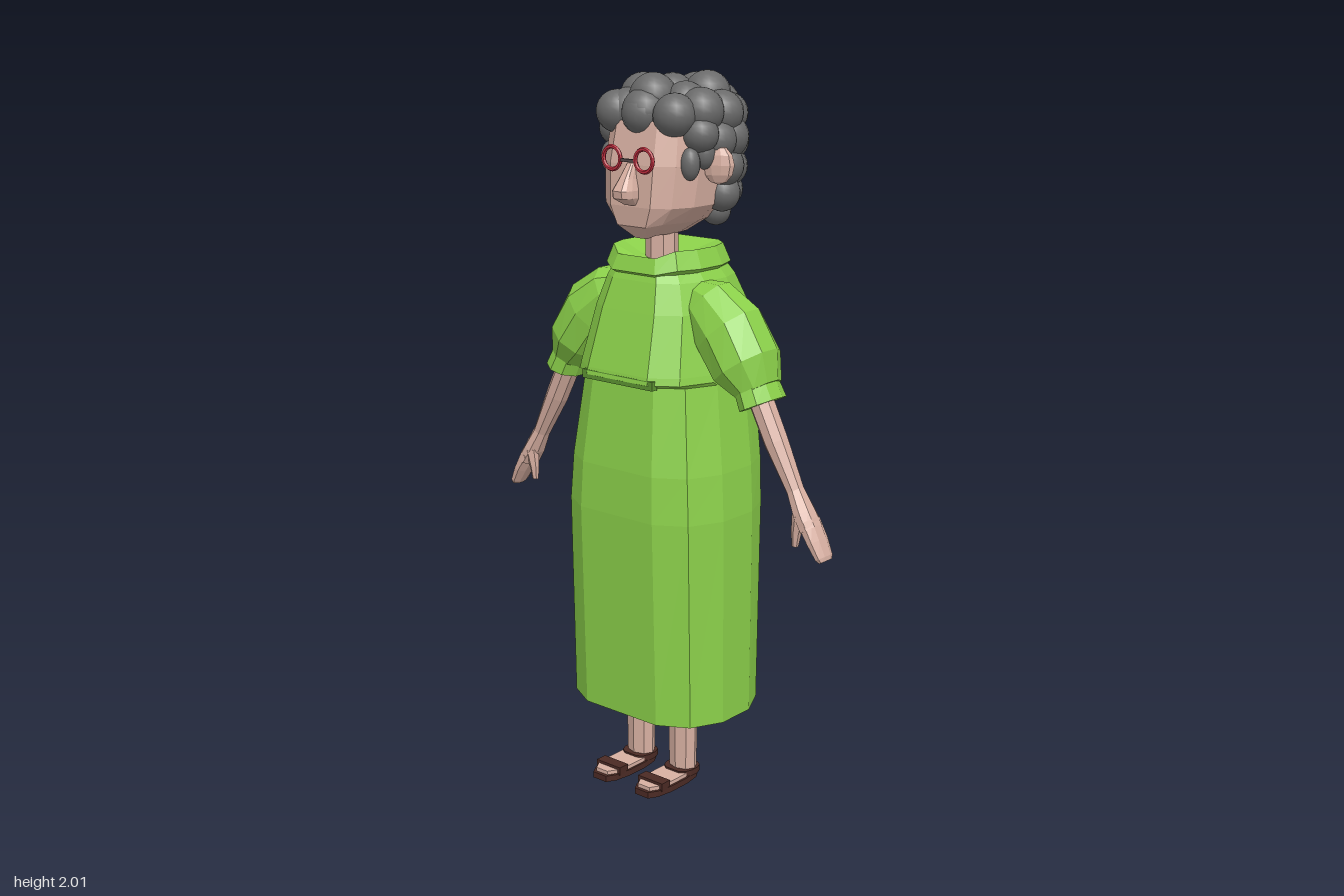
import * as THREE from 'three';

const flat = (color) => new THREE.MeshStandardMaterial({ color, flatShading: true });
const GREEN = flat(0x8bd04a), SKIN = flat(0xd8b0a2), RED = flat(0xc22f40), BROWN = flat(0x4b2a24), DARK = flat(0x55494a);
const HAIR = new THREE.MeshStandardMaterial({ color: 0x6a6a6a });
const V = (x, y, z) => new THREE.Vector3(x, y, z);

function add(parent, name, geometry, material) {
  const mesh = new THREE.Mesh(geometry, material);
  mesh.name = name;
  parent.add(mesh);
  return mesh;
}

// Skin a closed solid over a list of rings; winding is set from the signed volume.
function loft(rings) {
  const n = rings[0].length, pts = rings.flat(), tris = [];
  for (let i = 0; i < rings.length - 1; i++) {
    for (let j = 0; j < n; j++) {
      const a = i * n + j, b = i * n + (j + 1) % n;
      tris.push([a, b, b + n], [a, b + n, a + n]);
    }
  }
  for (const start of [0, (rings.length - 1) * n]) {
    const mid = V(0, 0, 0);
    for (let j = 0; j < n; j++) mid.addScaledVector(pts[start + j], 1 / n);
    const c = pts.push(mid) - 1;
    for (let j = 0; j < n; j++) {
      const a = start + j, b = start + (j + 1) % n;
      tris.push(start ? [c, a, b] : [c, b, a]);
    }
  }
  const volume = tris.reduce((s, [a, b, c]) => s + pts[a].dot(V(0, 0, 0).crossVectors(pts[b], pts[c])), 0);
  const g = new THREE.BufferGeometry().setFromPoints(pts);
  g.setIndex(tris.flatMap(([a, b, c]) => (volume < 0 ? [a, c, b] : [a, b, c])));
  g.computeVertexNormals();
  return g;
}

// Twelve-sided body outline: flat front and back, chamfered sides.
const quarter = [[0.5, 1], [0.83, 0.76], [1, 0.3]];
const outline = [
  ...quarter,
  ...quarter.map(([x, z]) => [x, -z]).reverse(),
  ...quarter.map(([x, z]) => [-x, -z]),
  ...quarter.map(([x, z]) => [-x, z]).reverse(),
];
// Horizontal section: height, half width, front z, back z, optional drop at the front.
const section = ([y, w, front, back, drop = 0]) => outline.map(([x, z]) =>
  V(x * w, y - (z > 0.9 ? drop : 0), (front + back) / 2 + z * (front - back) / 2));

// Limb along points [x, y, radius in plane, radius in z], mirrored by side.
function limb(points, side, z, sides = 8) {
  return loft(points.map(([x, y, r, rz = r], i) => {
    const p = points[Math.max(0, i - 1)], q = points[Math.min(points.length - 1, i + 1)];
    const len = Math.hypot(q[0] - p[0], q[1] - p[1]);
    const nx = -(q[1] - p[1]) / len, ny = (q[0] - p[0]) / len;
    return Array.from({ length: sides }, (_, k) => {
      const t = (k + 0.5) / sides * Math.PI * 2, c = Math.cos(t) * r;
      return V(side * (x + nx * c), y + ny * c, z + Math.sin(t) * rz);
    });
  }));
}

function buildDress(root) {
  add(root, 'dress', loft([
    [0.23, 0.26, 0.205, -0.185], [0.82, 0.26, 0.22, -0.2], [0.95, 0.25, 0.215, -0.205],
    [1.19, 0.217, 0.188, -0.205], [1.2, 0.217, 0.214, -0.205], [1.22, 0.214, 0.21, -0.205],
    [1.38, 0.185, 0.165, -0.205], [1.46, 0.155, 0.14, -0.17], [1.51, 0.12, 0.12, -0.14],
  ].map(section)), GREEN);
  // Shadowed fold under the bodice
  const fold = add(root, 'bodiceFold', new THREE.BoxGeometry(0.25, 0.025, 0.02), flat(0x5d9433));
  fold.position.set(0, 1.2, 0.202);
  add(root, 'collar', loft([
    [1.47, 0.12, 0.125, -0.14], [1.495, 0.152, 0.145, -0.152, 0.012], [1.545, 0.132, 0.13, -0.135, 0.02],
    [1.515, 0.06, 0.08, -0.04, 0.005],
  ].map(section)), GREEN);
}

function buildHead(root) {
  const head = new THREE.Group();
  head.name = 'head';
  root.add(head);
  add(head, 'neck', new THREE.CylinderGeometry(0.045, 0.045, 0.14, 8), SKIN).position.set(0, 1.55, 0.025);
  add(head, 'face', loft([
    [1.578, 0.04, 0.11, -0.06], [1.615, 0.1, 0.15, -0.1], [1.66, 0.14, 0.155, -0.12],
    [1.77, 0.15, 0.148, -0.14], [1.88, 0.14, 0.125, -0.13], [1.94, 0.08, 0.07, -0.1],
  ].map((s, i) => section([...s, i < 2 ? 0.008 : 0]))), SKIN);
  add(head, 'nose', loft([
    [1.775, 0.012, 0.155, 0.13], [1.735, 0.02, 0.185, 0.13], [1.705, 0.03, 0.206, 0.13],
    [1.685, 0.03, 0.203, 0.13], [1.665, 0.02, 0.165, 0.13],
  ].map(section)), SKIN);

  // Spectacles
  for (const s of [-1, 1]) {
    add(head, 'spectacleRim', new THREE.TorusGeometry(0.03, 0.006, 6, 20), RED).position.set(s * 0.056, 1.785, 0.162);
    const ear = add(head, 'ear', new THREE.SphereGeometry(1, 10, 6), SKIN);
    ear.scale.set(0.045, 0.052, 0.02);
    ear.position.set(s * 0.178, 1.77, 0.005);
    ear.rotation.y = s * 0.35;
  }
  add(head, 'spectacleBridge', new THREE.BoxGeometry(0.054, 0.008, 0.008), DARK).position.set(0, 1.782, 0.162);
}

function buildHair(root) {
  const hair = new THREE.Group();
  hair.name = 'hair';
  root.add(hair);
  const ball = new THREE.SphereGeometry(1, 16, 12);
  const curl = (x, y, z, r, tall = 1) => {
    const m = add(hair, 'curl', ball, HAIR);
    m.position.set(x, y, z);
    m.scale.set(r, r * tall, r);
  };
  // Rows of curls: height, x radius, z radius, centre z, count, arc half-angle from the back, curl radius
  const rows = [
    [1.935, 0.085, 0.09, -0.03, 6, 1, 0.062],
    [1.9, 0.142, 0.128, -0.035, 11, 1, 0.06],
    [1.83, 0.148, 0.12, -0.045, 9, 0.56, 0.057],
    [1.76, 0.142, 0.12, -0.045, 7, 0.45, 0.056],
    [1.69, 0.132, 0.115, -0.045, 6, 0.42, 0.052],
    [1.64, 0.1, 0.105, -0.045, 5, 0.3, 0.044],
  ];
  rows.forEach(([y, rx, rz, cz, n, arc, r], row) => {
    for (let i = 0; i < n; i++) {
      const t = arc === 1 ? (i + 0.5 * (n % 2)) / n * 2 * Math.PI : (i / (n - 1) * 2 - 1) * arc * Math.PI;
      const wobble = Math.sin(i * 2.3 + row * 1.7);
      curl(Math.sin(t) * rx, y + wobble * 0.01, cz - Math.cos(t) * rz, r * (1 + wobble * 0.06));
    }
  });
  curl(0, 1.94, -0.02, 0.06);
  // Fringe and sideburns
  for (const x of [-0.1, 0, 0.1]) curl(x, 1.9, 0.1 - Math.abs(x) * 0.1, 0.058);
  for (const s of [-1, 1]) {
    curl(s * 0.145, 1.85, 0.04, 0.05);
    curl(s * 0.14, 1.775, 0.075, 0.027, 1.6);
    curl(s * 0.15, 1.8, 0.03, 0.03, 1.4);
  }
}

function buildArm(root, s) {
  const arm = new THREE.Group();
  arm.name = s > 0 ? 'leftArm' : 'rightArm';
  root.add(arm);
  add(arm, 'puffSleeve', limb([
    [0.12, 1.42, 0.05, 0.055], [0.165, 1.395, 0.085, 0.08], [0.235, 1.335, 0.103, 0.1],
    [0.295, 1.25, 0.095, 0.105], [0.338, 1.19, 0.055, 0.075],
  ], s, 0.022, 10), GREEN);
  add(arm, 'cuff', limb([[0.328, 1.205, 0.052, 0.074], [0.352, 1.155, 0.054, 0.08]], s, 0.025, 10), GREEN);
  add(arm, 'forearm', limb([
    [0.34, 1.18, 0.035], [0.4, 1.06, 0.034], [0.465, 0.94, 0.024, 0.027], [0.495, 0.885, 0.028, 0.038],
    [0.52, 0.845, 0.027, 0.041],
  ], s, 0.028), SKIN);
  add(arm, 'fingers', limb([
    [0.51, 0.865, 0.026, 0.04], [0.54, 0.815, 0.02, 0.04], [0.562, 0.775, 0.015, 0.034], [0.568, 0.765, 0.01, 0.026],
  ], s, 0.028), SKIN);
  add(arm, 'thumb', limb([
    [0.492, 0.88, 0.02], [0.483, 0.83, 0.014], [0.48, 0.792, 0.009],
  ], s, 0.045, 6), SKIN);
}

function buildLeg(root, s) {
  const leg = new THREE.Group();
  leg.name = s > 0 ? 'leftLeg' : 'rightLeg';
  leg.position.x = s * 0.08;
  root.add(leg);
  const shin = add(leg, 'shin', new THREE.CylinderGeometry(1, 0.9, 0.3, 8), SKIN);
  shin.scale.set(0.048, 1, 0.038);
  shin.position.set(0, 0.17, 0.027);
  // Flat foot on a sandal with two straps
  const foot = (y0, y1, w, front, back) => loft([[y0, w, front, back], [y1, w, front, back]].map(section));
  add(leg, 'sole', foot(0, 0.018, 0.048, 0.21, -0.012), BROWN);
  add(leg, 'foot', foot(0.016, 0.029, 0.042, 0.2, -0.005), SKIN);
  add(leg, 'toeStrap', new THREE.BoxGeometry(0.09, 0.024, 0.035), BROWN).position.set(0, 0.025, 0.155);
  add(leg, 'heelStrap', foot(0.016, 0.034, 0.047, 0.075, -0.012), BROWN);
}

export function createModel() {
  const root = new THREE.Group();
  root.name = 'figure';
  buildDress(root);
  buildHead(root);
  buildHair(root);
  for (const s of [-1, 1]) {
    buildArm(root, s);
    buildLeg(root, s);
  }
  return root;
}
